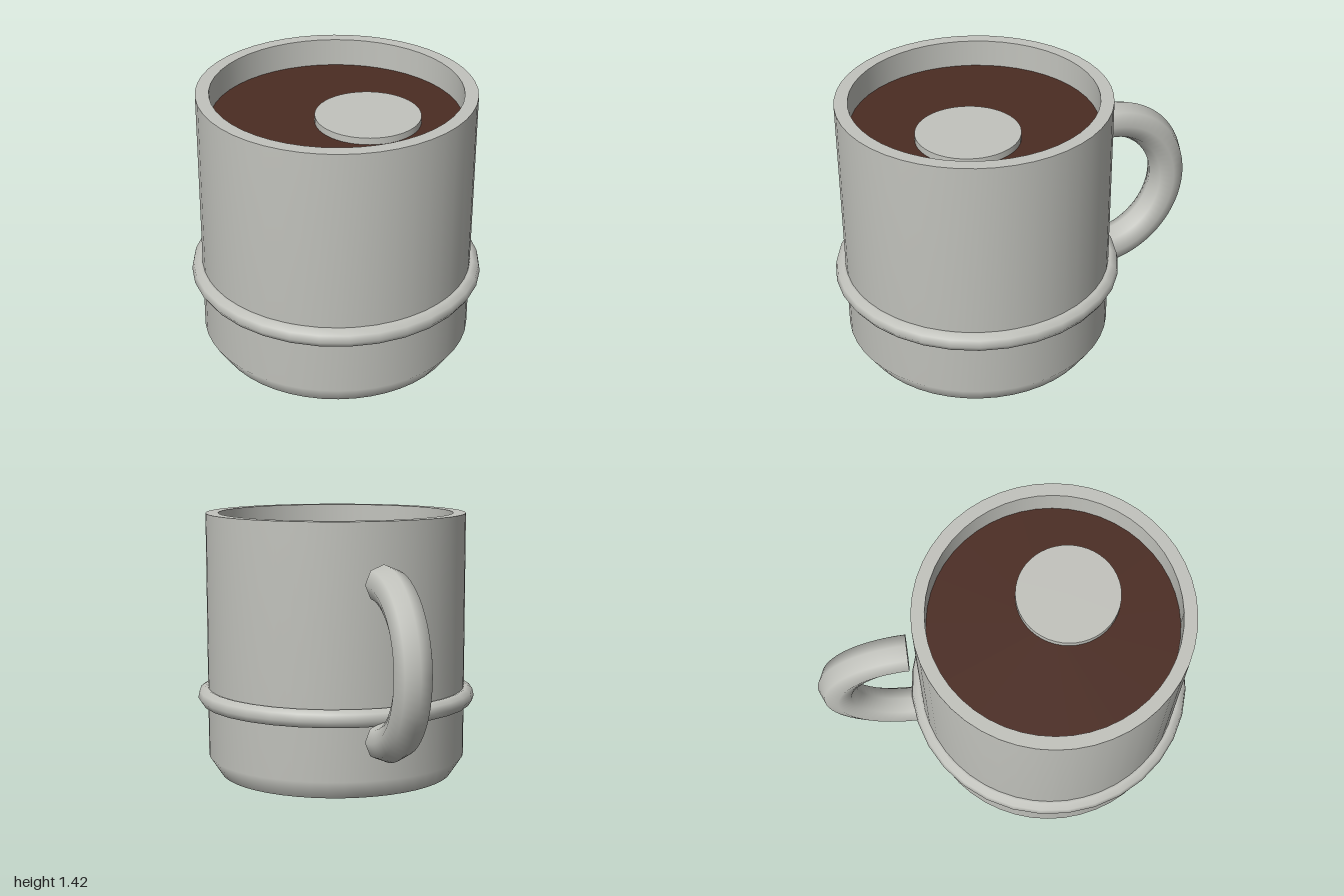
import * as THREE from 'three';

const CENTRE_Z = 0.241; // axis of the cup
const SIDES = 48;

export function createModel() {
  const model = new THREE.Group();
  model.name = 'mug';

  const ceramic = new THREE.MeshStandardMaterial({ color: 0xc2c3bd });
  ceramic.name = 'grey ceramic';
  const coffee = new THREE.MeshStandardMaterial({ color: 0x4b2c23 });
  coffee.name = 'dark coffee';

  const add = (parent, name, geometry, material, x = 0, y = 0, z = 0) => {
    const mesh = new THREE.Mesh(geometry, material);
    mesh.name = name;
    mesh.position.set(x, y, z);
    parent.add(mesh);
    return mesh;
  };
  const lathe = (points, sides = SIDES) =>
    new THREE.LatheGeometry(points.map(([r, y]) => new THREE.Vector2(r, y)), sides);

  const cup = new THREE.Group();
  cup.name = 'cup';
  cup.position.z = CENTRE_Z;
  model.add(cup);

  // Separate turned pieces keep the rim and foot edges sharp
  const top = 1.425;
  add(cup, 'base', lathe([[0, 0], [0.637, 0]]), ceramic);
  add(cup, 'outerWall', lathe([[0.637, 0], [0.703, 0.1], [0.703, top]]), ceramic);
  add(cup, 'rim', lathe([[0.703, top], [0.635, top]]), ceramic);
  add(cup, 'innerWall', lathe([[0.635, top], [0.635, 1.2]]), ceramic);

  // Eight-sided bead around the lower body
  const bead = [];
  for (let i = 0; i <= 8; i++) {
    const a = THREE.MathUtils.degToRad(-190 + i * 45);
    bead.push([0.709 + 0.05 * Math.cos(a), 0.432 + 0.05 * Math.sin(a)]);
  }
  add(cup, 'bandRing', lathe(bead, 32), ceramic);

  // Drink surface and the flat disc floating on it
  add(cup, 'drink', new THREE.CircleGeometry(0.635, SIDES).rotateX(-Math.PI / 2), coffee, 0, 1.28, 0);
  add(cup, 'floatingDisc', new THREE.CylinderGeometry(0.266, 0.266, 0.05, SIDES), ceramic,
    0.135, 1.29, 0.335 - CENTRE_Z);

  // Half-ring handle bulging to the back, with its two end caps
  const handle = new THREE.Group();
  handle.name = 'handle';
  handle.position.set(0, 0.715, -0.5);
  model.add(handle);
  const arc = new THREE.TorusGeometry(0.4, 0.1, 8, 32, Math.PI);
  arc.rotateZ(-Math.PI / 2).rotateY(Math.PI / 2);
  add(handle, 'handleArc', arc, ceramic);
  for (const side of [-1, 1]) {
    add(handle, 'handleEnd', new THREE.CircleGeometry(0.1, 8), ceramic, 0, side * 0.4, 0);
  }

  return model;
}
